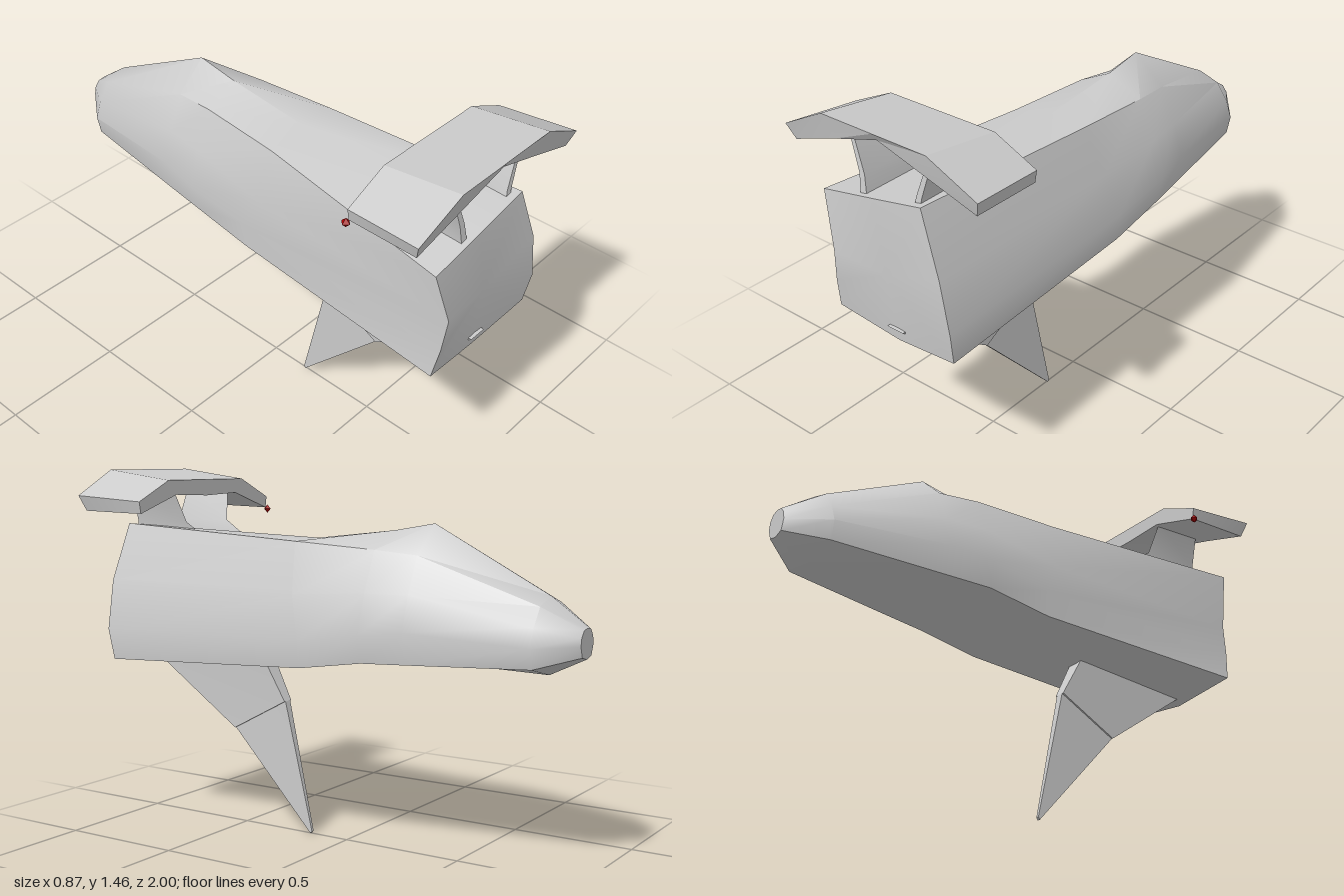
import * as THREE from 'three';
import { toCreasedNormals } from 'three/addons/utils/BufferGeometryUtils.js';

const grey = new THREE.MeshStandardMaterial({ color: 0xcccccc });

// Skin rings of [x, y, z] points, each clockwise seen from the first end, and cap both ends.
function loft(name, rings, crease = 0.6) {
  const n = rings[0].length, last = rings.length - 1;
  const pos = rings.flat(2), idx = [];
  for (let i = 0; i < last; i++) {
    for (let j = 0; j < n; j++) {
      const k = (j + 1) % n;
      const a = i * n + j, b = i * n + k, c = b + n, d = a + n;
      idx.push(a, b, d, b, c, d);
    }
  }
  [0, last].forEach((r) => {
    const centre = pos.length / 3;
    for (let c = 0; c < 3; c++) pos.push(rings[r].reduce((s, p) => s + p[c], 0) / n);
    for (let j = 0; j < n; j++) {
      const a = r * n + j, b = r * n + (j + 1) % n;
      if (r === 0) idx.push(centre, b, a);
      else idx.push(centre, a, b);
    }
  });
  const g = new THREE.BufferGeometry();
  g.setAttribute('position', new THREE.Float32BufferAttribute(pos, 3));
  g.setIndex(idx);
  const mesh = new THREE.Mesh(toCreasedNormals(g, crease), grey);
  mesh.name = name;
  return mesh;
}

// Ring at one z from its right half (top centre to bottom centre); left is a narrower mirror.
function bodyRing(z, half, leftScale = 1) {
  const left = half.slice(1, -1).reverse().map(([x, y]) => [-x * leftScale, y, z]);
  return [...half.map(([x, y]) => [x, y, z]), ...left];
}

function makeBody() {
  // Lopsided rear edge, bulging backwards at mid height
  const rear = [
    [-0.06, 1.195, 0.97], [0.165, 1.24, 0.97], [0.25, 1.01, 0.99], [0.285, 0.81, 0.99],
    [0.275, 0.685, 0.97], [0, 0.645, 0.95], [-0.27, 0.69, 0.97], [-0.255, 0.81, 0.99],
    [-0.24, 0.94, 1.0], [-0.295, 1.15, 0.97],
  ];
  const middle = [
    [0, 1.2, 0.13], [0.16, 1.195, 0.13], [0.225, 1.0, 0.1], [0.265, 0.83, 0.05],
    [0.255, 0.725, 0.05], [0, 0.71, 0.05], [-0.225, 0.725, 0.05], [-0.232, 0.83, 0.05],
    [-0.215, 0.96, 0.1], [-0.165, 1.17, 0.13],
  ];
  return loft('body', [
    rear,
    middle,
    bodyRing(-0.22, [[0, 1.24], [0.15, 1.175], [0.22, 1.02], [0.265, 0.87], [0.245, 0.765], [0, 0.755]], 0.9),
    bodyRing(-0.39, [[0, 1.27], [0.13, 1.16], [0.195, 1.02], [0.235, 0.89], [0.22, 0.77], [0, 0.755]], 0.92),
    bodyRing(-0.86, [[0, 1.03], [0.09, 1.0], [0.14, 0.93], [0.165, 0.86], [0.15, 0.785], [0, 0.747]]),
    bodyRing(-1, [[0, 0.925], [0.03, 0.92], [0.05, 0.895], [0.055, 0.865], [0.04, 0.825], [0, 0.815]]),
  ], 0.7);
}

function makeWing() {
  // Rear top, front top, front bottom, rear bottom
  const tip = (s) => [[0.433 * s, 1.36, 0.99], [0.41 * s, 1.34, 0.69], [0.402 * s, 1.293, 0.69], [0.41 * s, 1.3, 0.97]];
  const bend = (s) => [[0.235 * s, 1.46, 1], [0.235 * s, 1.42, 0.69], [0.19 * s, 1.362, 0.69], [0.2 * s, 1.372, 0.98]];
  const middle = [[0, 1.46, 1], [0, 1.42, 0.69], [0, 1.355, 0.69], [0, 1.43, 0.98]];
  return loft('rearWing', [tip(1), bend(1), middle, bend(-1), tip(-1)], 0.3);
}

// Wedge-shaped strut, pointed at its front edge
function makeStrut(s) {
  const ring = (x, y, z0, z1, w) => [[x * s, y, z0], [x * s + w, y, z1], [x * s - w, y, z1]];
  return loft(s > 0 ? 'leftWingStrut' : 'rightWingStrut',
    [ring(0.178, 1.39, 0.72, 0.93, 0.009), ring(0.13, 1.25, 0.69, 0.94, 0.012), ring(0.12, 1.17, 0.56, 0.95, 0.015)], 0.3);
}

// Flat fin section given by front and rear corners [y, z]
const finRing = (w, [yf, zf], [yr, zr]) => [[-w, yf, zf], [w, yf, zf], [w, yr, zr], [-w, yr, zr]];

export function createModel() {
  const model = new THREE.Group();
  model.name = 'craft';
  model.add(makeBody(), makeWing(), makeStrut(1), makeStrut(-1));

  // Bottom fin in two steps, swept forward
  const bendFront = [0.535, 0.285], bendRear = [0.4, 0.54];
  model.add(
    loft('finRoot', [finRing(0.037, [0.72, 0.385], [0.7, 0.97]), finRing(0.023, bendFront, bendRear)], 0.3),
    loft('finBlade', [finRing(0.016, bendFront, bendRear), finRing(0.006, [0.01, 0.165], [0, 0.172])], 0.3),
  );

  // Small red light at one wing tip
  const light = new THREE.Mesh(
    new THREE.OctahedronGeometry(0.018),
    new THREE.MeshStandardMaterial({ color: 0xaa0000, flatShading: true }),
  );
  light.name = 'wingTipLight';
  light.position.set(-0.412, 1.287, 0.687);
  model.add(light);
  return model;
}
